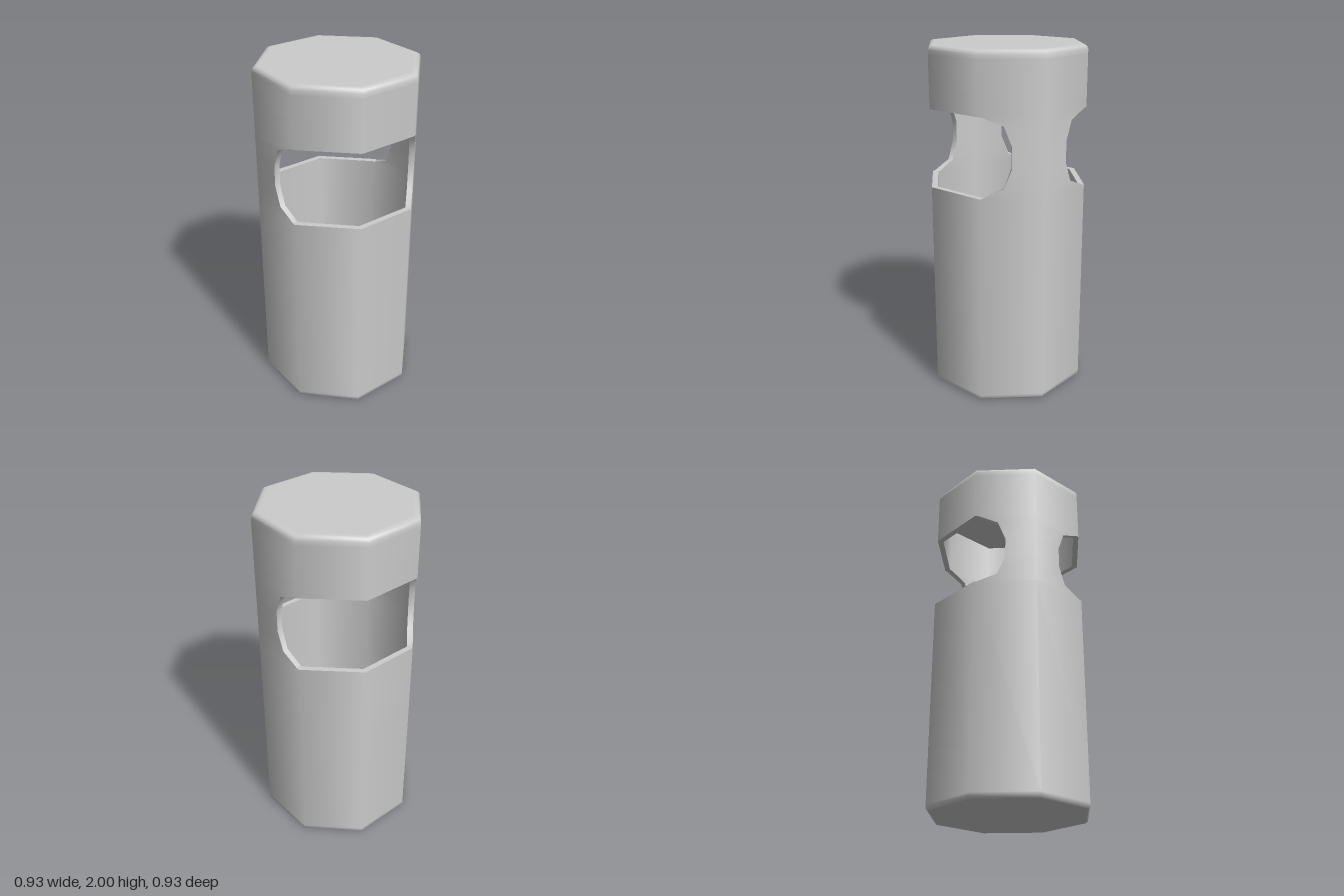
import * as THREE from 'three';

const R = 0.465;        // outer corner radius of the octagon
const RI = 0.43;        // inner corner radius
const SILL = 1.22;      // bottom of the windows
const HEAD = 1.66;      // top of the windows

// Octagonal surfaces of revolution; separate profiles keep their shared edges sharp
function addRings(group, name, material, profiles) {
  const part = new THREE.Group();
  part.name = name;
  for (const profile of profiles) {
    const points = profile.map(([r, y]) => new THREE.Vector2(r, y));
    part.add(new THREE.Mesh(new THREE.LatheGeometry(points, 8), material));
  }
  group.add(part);
}

// Point on the octagon beside the +x corner, at depth z, scaled to the inner wall if needed
function onOctagon(z, y, scale) {
  const t = Math.abs(z) / (R * Math.SQRT1_2);
  const x = R * (1 - t) + R * Math.SQRT1_2 * t;
  return [x * scale, y, z * scale];
}

// Surface through rows of points; radial = 1 or -1 gives round-looking wall normals
function gridSurface(rows, radial) {
  const n = rows[0].length, index = [];
  for (let j = 0; j < rows.length - 1; j++) {
    for (let i = 0; i < n - 1; i++) {
      const a = j * n + i, d = a + n;
      index.push(a, a + 1, d + 1, a, d + 1, d);
    }
  }
  const geometry = new THREE.BufferGeometry();
  geometry.setAttribute('position', new THREE.Float32BufferAttribute(rows.flat(2), 3));
  geometry.setIndex(index);
  geometry.computeVertexNormals();
  if (radial) {
    const normal = geometry.attributes.normal;
    rows.flat().forEach(([x, , z], i) => {
      const l = Math.hypot(x, z) * radial;
      normal.setXYZ(i, x / l, 0, z / l);
    });
  }
  return geometry;
}

export function createModel() {
  const model = new THREE.Group();
  model.name = 'windowedCanister';
  const grey = new THREE.MeshStandardMaterial({ color: 0xcccccc });
  grey.name = 'plainGrey';

  // Hollow lower cup: base, outer wall, sill, inner wall, floor
  addRings(model, 'lowerCup', grey, [
    [[0, 0], [R - 0.012, 0]],
    [[R - 0.012, 0], [R, 0.012], [R, 0.03], [R, SILL]],
    [[R, SILL], [RI, SILL]],
    [[RI, SILL], [RI, 0.035]],
    [[RI, 0.035], [0, 0.035]],
  ]);

  // Hollow cap with a softened top edge
  addRings(model, 'cap', grey, [
    [[R, HEAD], [R, 1.95], [R, 1.975], [R - 0.008, 1.992], [R - 0.025, 2], [R - 0.045, 2], [0, 2]],
    [[0, 1.965], [RI, 1.965]],
    [[RI, 1.965], [RI, HEAD]],
    [[RI, HEAD], [R, HEAD]],
  ]);

  // Side pillars, waisted by the rounded window corners: [height, half depth]
  const waist = [[SILL, 0.315], [1.27, 0.205], [1.38, 0.165], [1.5, 0.165], [1.61, 0.205], [HEAD, 0.315]];
  const k = RI / R;
  const patch = (columns) => waist.map(([y, w]) => columns.map(([side, s]) => onOctagon(side * w, y, s)));
  const surfaces = [
    gridSurface(patch([[1, 1], [0, 1], [-1, 1]]), 1),     // outer face
    gridSurface(patch([[-1, k], [0, k], [1, k]]), -1),    // inner face
    gridSurface(patch([[-1, 1], [-1, k]])),               // back window edge
    gridSurface(patch([[1, k], [1, 1]])),                 // front window edge
  ];
  for (const side of ['left', 'right']) {
    const pillar = new THREE.Group();
    pillar.name = side + 'Pillar';
    for (const surface of surfaces) pillar.add(new THREE.Mesh(surface, grey));
    if (side === 'right') pillar.rotation.y = Math.PI;
    model.add(pillar);
  }
  return model;
}
